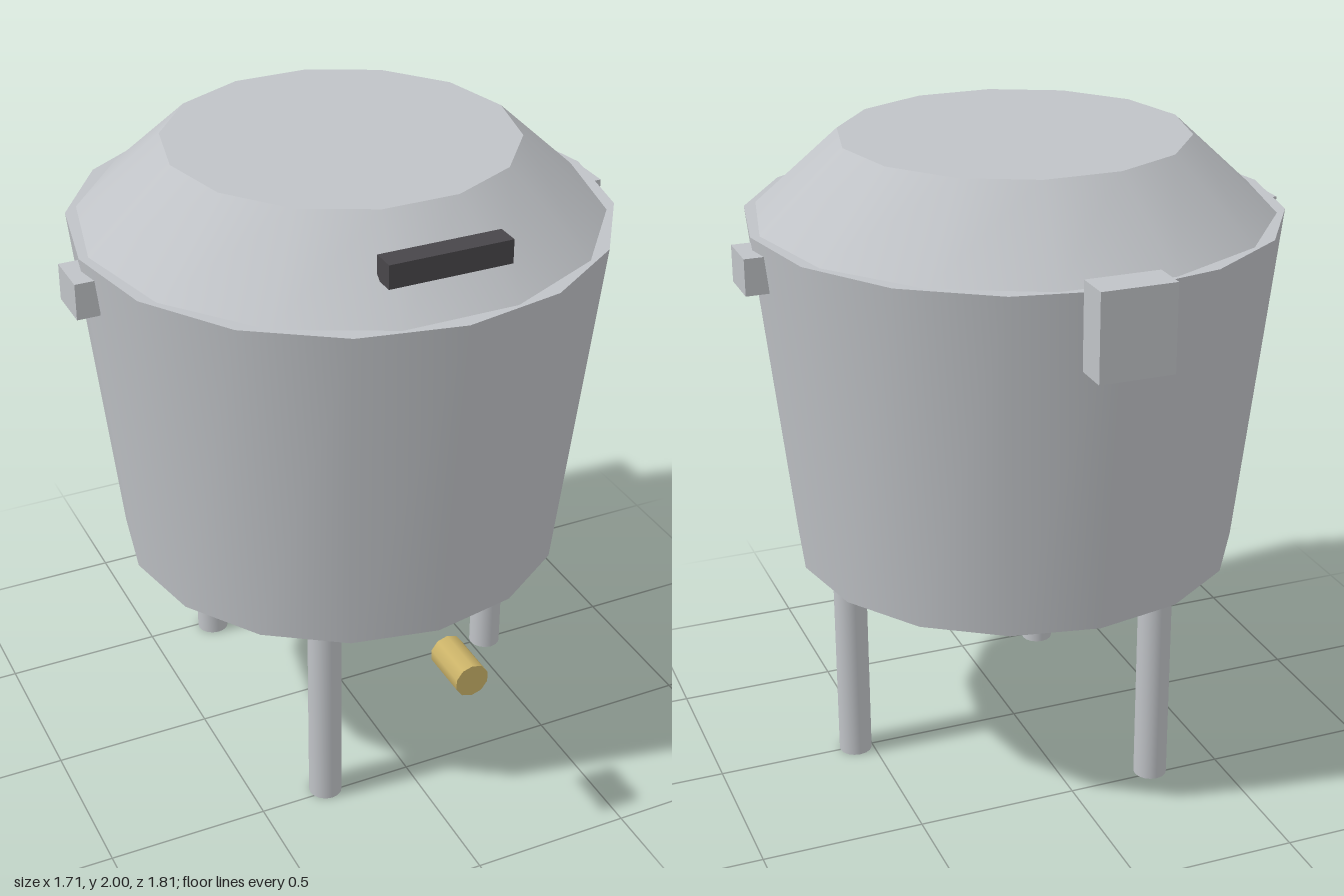
import * as THREE from 'three';

const material = (name, color) => {
  const m = new THREE.MeshStandardMaterial({ color });
  m.name = name;
  return m;
};

export function createModel() {
  const steel = material('steel', 0xc0c3c7);
  const brass = material('brass', 0xcab268);
  const dark = material('darkGrip', 0x48464a);
  const model = new THREE.Group();
  model.name = 'kettle';

  const add = (name, geometry, mat, x, y, z) => {
    const mesh = new THREE.Mesh(geometry, mat);
    mesh.name = name;
    mesh.position.set(x, y, z);
    model.add(mesh);
    return mesh;
  };
  // Upright tapered cylinder between two heights
  const drum = (name, rTop, rBottom, y0, y1, sides, x = 0, z = 0) =>
    add(name, new THREE.CylinderGeometry(rTop, rBottom, y1 - y0, sides), steel, x, (y0 + y1) / 2, z);

  // Tapered pot and its conical lid, the lid with corners on the x axis
  drum('pot', 0.815, 0.695, 0.68, 1.765, 16);
  drum('lid', 0.53, 0.787, 1.765, 2, 14).rotation.y = Math.PI / 14;

  // Three legs, evenly spaced
  for (let i = 0; i < 3; i++) {
    const a = (i * Math.PI * 2) / 3;
    drum('leg', 0.052, 0.052, 0, 0.68, 16, 0.555 * Math.cos(a), 0.555 * Math.sin(a));
  }

  // Side lugs
  for (const side of [-1, 1]) {
    add(side > 0 ? 'leftLug' : 'rightLug', new THREE.BoxGeometry(0.07, 0.112, 0.146), steel, side * 0.82, 1.67, 0);
  }

  // Hinge block at the back
  add('hinge', new THREE.BoxGeometry(0.226, 0.262, 0.11), steel, 0, 1.67, -0.848);

  // Lid grip at the front
  add('lidGrip', new THREE.BoxGeometry(0.375, 0.072, 0.072), dark, 0, 1.895, 0.668);

  // Outlet valve below the front of the pot
  const valve = add('valve', new THREE.CylinderGeometry(0.053, 0.053, 0.16, 10), brass, 0, 0.64, 0.825);
  valve.rotation.x = Math.PI / 2;

  return model;
}
